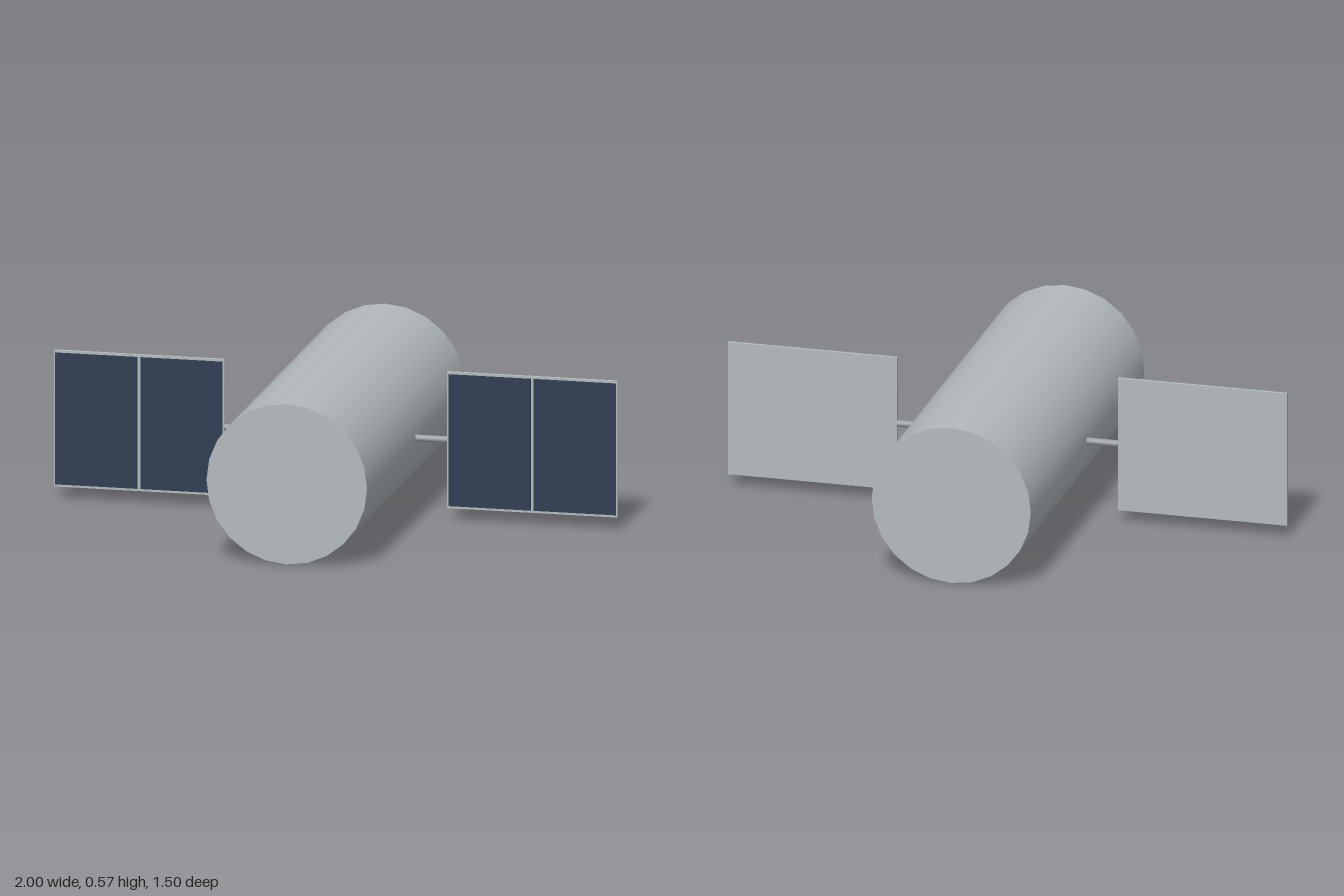
import * as THREE from 'three';

export function createModel() {
  const model = new THREE.Group();
  model.name = 'satellite';

  const hullGrey = new THREE.MeshStandardMaterial({ color: 0xb4babd });
  hullGrey.name = 'hull grey';
  const strutGrey = new THREE.MeshStandardMaterial({ color: 0x9a9fa2 });
  strutGrey.name = 'strut grey';
  const cellBlue = new THREE.MeshStandardMaterial({ color: 0x2f3e52 });
  cellBlue.name = 'cell blue';

  const radius = 0.285;
  const add = (parent, name, geometry, material, x, y, z) => {
    const mesh = new THREE.Mesh(geometry, material);
    mesh.name = name;
    mesh.position.set(x, y, z);
    parent.add(mesh);
    return mesh;
  };

  // Cylindrical hull lying along z
  const hull = new THREE.CylinderGeometry(radius, radius, 1.5, 24).rotateX(Math.PI / 2);
  // A corner of the polygon sits at the very bottom
  add(model, 'hull', hull, hullGrey, 0, radius, 0);

  // Solar wings on both sides
  const panelWidth = 0.605, panelHeight = 0.485, thickness = 0.012;
  const strut = new THREE.CylinderGeometry(0.012, 0.012, 0.135, 12).rotateZ(Math.PI / 2);
  const panel = new THREE.BoxGeometry(panelWidth, panelHeight, thickness);
  const cell = new THREE.BoxGeometry(0.292, 0.469, 0.002);

  for (const side of [1, -1]) {
    const wing = new THREE.Group();
    wing.name = side > 0 ? 'leftWing' : 'rightWing';
    wing.position.y = radius + 0.002;
    model.add(wing);

    const panelX = side * (1 - panelWidth / 2);
    add(wing, 'strut', strut, strutGrey, side * 0.3285, 0, 0);
    add(wing, 'panel', panel, hullGrey, panelX, 0, 0);

    // Two dark cell fields on the front face
    for (const half of [-1, 1]) {
      add(wing, 'solarCells', cell, cellBlue, panelX + half * 0.151, 0, thickness / 2 + 0.001);
    }
  }

  return model;
}
